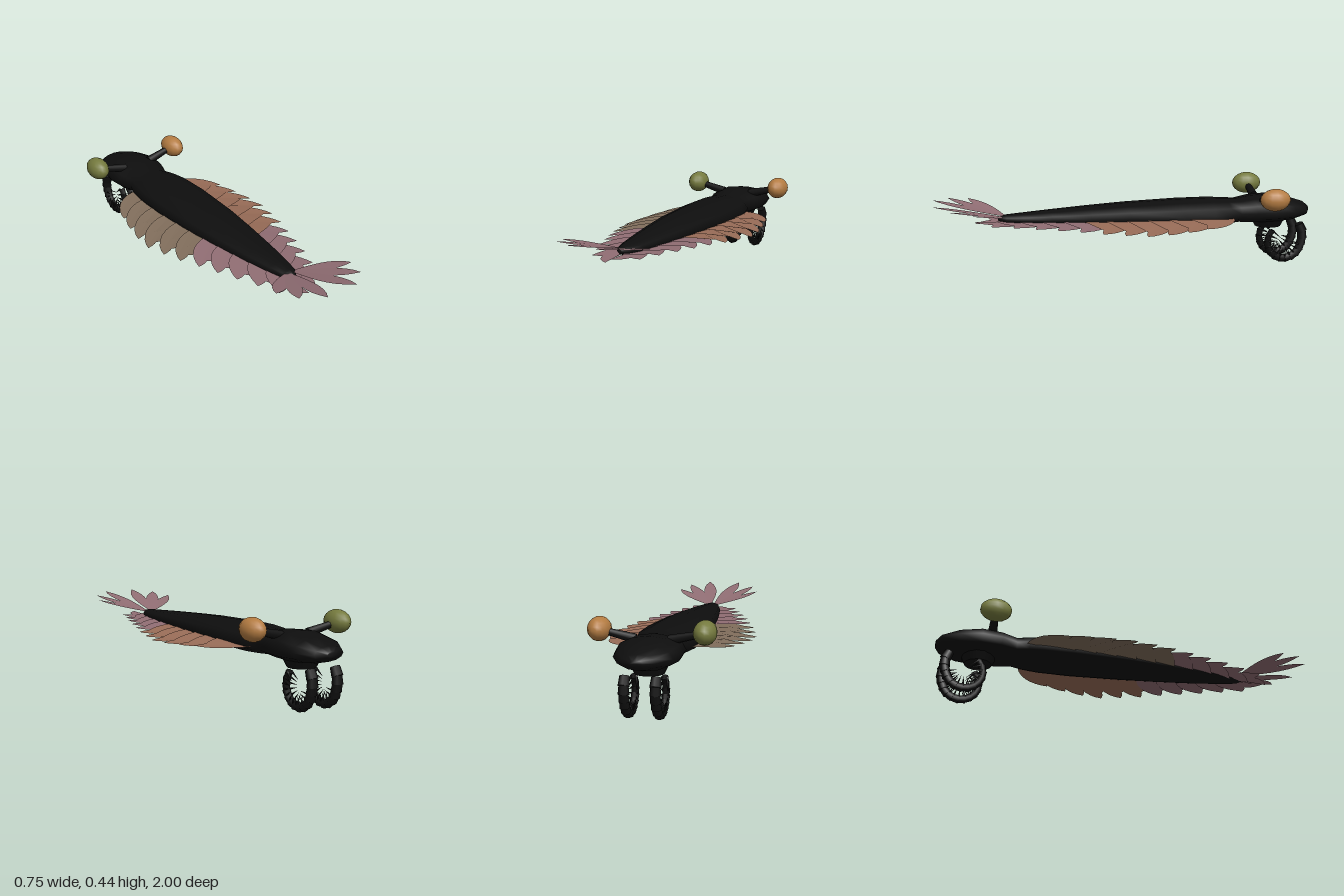
import * as THREE from 'three';

const material = (name, color, side = THREE.FrontSide) => {
  const m = new THREE.MeshStandardMaterial({ color, side });
  m.name = name;
  return m;
};

export function createModel() {
  const group = new THREE.Group();
  const black = material('shell black', 0x0e0e0e);
  const orange = material('eye orange', 0xb47c42);
  const olive = material('eye olive', 0x757a3e);
  const rust = material('fin rust', 0x986c57, THREE.DoubleSide);
  const brown = material('fin brown', 0x806d5b, THREE.DoubleSide);
  const mauve = material('fin mauve', 0x906d73, THREE.DoubleSide);

  const add = (name, geometry, mat, parent = group) => {
    const mesh = new THREE.Mesh(geometry, mat);
    mesh.name = name;
    parent.add(mesh);
    return mesh;
  };
  // Tapered round bar between two points
  const bar = (name, a, b, ra, rb, sides, parent) => {
    const d = b.clone().sub(a);
    const mesh = add(name, new THREE.CylinderGeometry(rb, ra, d.length(), sides), black, parent);
    mesh.position.copy(a).addScaledVector(d, 0.5);
    mesh.quaternion.setFromUnitVectors(new THREE.Vector3(0, 1, 0), d.normalize());
    return mesh;
  };

  // Body and head: rings of z, half width, bottom, top
  const rings = [
    [-1, 0.03, 0.27, 0.3], [-0.975, 0.085, 0.25, 0.322], [-0.89, 0.14, 0.23, 0.35],
    [-0.78, 0.16, 0.223, 0.37], [-0.68, 0.15, 0.225, 0.365], [-0.6, 0.122, 0.228, 0.352],
    [-0.54, 0.145, 0.225, 0.355], [-0.45, 0.16, 0.222, 0.36], [-0.28, 0.163, 0.224, 0.36],
    [0, 0.145, 0.234, 0.352], [0.2, 0.12, 0.241, 0.342], [0.4, 0.09, 0.25, 0.33],
    [0.55, 0.062, 0.26, 0.32], [0.63, 0.04, 0.268, 0.315], [0.67, 0.01, 0.285, 0.305],
  ];
  const sides = 12, pos = [], index = [];
  rings.forEach(([z, w, lo, hi], r) => {
    for (let i = 0; i < sides; i++) {
      const a = (i / sides) * Math.PI * 2;
      pos.push(w * Math.cos(a), (lo + hi) / 2 + (hi - lo) / 2 * Math.sin(a), z);
      if (r === 0) continue;
      const n = (i + 1) % sides, p = (r - 1) * sides, q = r * sides;
      index.push(p + i, p + n, q + n, p + i, q + n, q + i);
    }
  });
  const last = (rings.length - 1) * sides;
  for (let i = 1; i < sides - 1; i++) {
    index.push(0, i + 1, i, last, last + i, last + i + 1);
  }
  const body = new THREE.BufferGeometry();
  body.setAttribute('position', new THREE.Float32BufferAttribute(pos, 3));
  body.setIndex(index);
  body.computeVertexNormals();
  add('body', body, black);

  // Round mouth under the head
  const mouth = add('mouth', new THREE.CylinderGeometry(0.09, 0.07, 0.04, 14), black);
  mouth.position.set(0, 0.217, -0.78);

  // Stalked eyes
  for (const s of [1, -1]) {
    bar('eyeStalk', new THREE.Vector3(s * 0.08, 0.345, -0.725),
      new THREE.Vector3(s * 0.225, 0.378, -0.735), 0.024, 0.017, 8, group);
    const eye = add('eye', new THREE.SphereGeometry(1, 14, 10), s > 0 ? orange : olive);
    eye.scale.set(0.055, 0.058, 0.08);
    eye.position.set(s * 0.25, 0.387, -0.735);
  }

  // Curled front claws with paired inner spines
  const clawPoint = (t, x) => {
    const a = THREE.MathUtils.degToRad(130 + 270 * t);
    const r = 0.094 + 0.03 * Math.max(0, 1 - 5 * t);
    return new THREE.Vector3(x, 0.12 + r * Math.sin(a), -0.853 + r * Math.cos(a));
  };
  for (const s of [1, -1]) {
    const claw = new THREE.Group();
    claw.name = 'claw';
    group.add(claw);
    const count = 14;
    for (let i = 0; i < count; i++) {
      const t = i / count, rad = 0.028 - 0.011 * t;
      const a = clawPoint(t, s * 0.073), b = clawPoint((i + 1.15) / count, s * 0.073);
      bar('clawSegment', a, b, rad * 0.85, rad, 8, claw);
      if (i < 2) continue;
      for (const k of [-1, 1]) {
        const root = b.clone().add(new THREE.Vector3(k * 0.012, 0, 0));
        const tip = b.clone().lerp(new THREE.Vector3(b.x, 0.12, -0.853), 0.58);
        tip.x += k * 0.02;
        bar('clawSpine', root, tip, 0.006, 0.0005, 5, claw);
      }
    }
  }

  // Overlapping side fins, swept back; outer tips as x
  const tips = [0.32, 0.348, 0.368, 0.375, 0.352, 0.325, 0.287, 0.252, 0.215, 0.172, 0.13];
  tips.forEach((tx, i) => {
    const tz = -0.36 + 0.107 * i;
    const inner = Math.max(0.01, 0.07 - 0.006 * i);
    const front = tz - 0.2, w = tx - inner;
    const shape = new THREE.Shape();
    shape.moveTo(inner, front);
    shape.bezierCurveTo(inner + w * 0.7, front, tx - 0.01, tz - 0.09, tx, tz);
    shape.quadraticCurveTo(tx - 0.03, tz + 0.005, tx - 0.055, tz - 0.01);
    shape.quadraticCurveTo(inner + w * 0.5, tz + 0.05, inner, tz + 0.08);
    for (const s of [1, -1]) {
      const geo = new THREE.ShapeGeometry(shape, 8);
      const p = geo.attributes.position;
      for (let j = 0; j < p.count; j++) {
        const x = p.getX(j), z = p.getY(j);
        const droop = 0.5 * Math.max(0, x - 0.15) ** 2;
        p.setXYZ(j, s * x, 0.277 - droop + s * 0.05 * (z - tz + 0.08), z);
      }
      geo.computeVertexNormals();
      add('sideFin', geo, i > 5 ? mauve : s > 0 ? rust : brown);
    }
  });

  // Tail fan: three raised leaf blades on each side
  const fan = [[0.09, 0.387, 1], [0.19, 0.377, 0.92], [0.232, 0.362, 0.81]];
  for (const s of [1, -1]) {
    fan.forEach(([x, y, z], i) => {
      const root = new THREE.Vector3(s * 0.008, 0.3 - i * 0.001, 0.62);
      const dir = new THREE.Vector3(s * x, y, z).sub(root);
      const across = new THREE.Vector3(dir.z, 0, -dir.x).normalize();
      const leaf = new THREE.Shape();
      leaf.moveTo(0, 0);
      leaf.bezierCurveTo(0.03, 0.35, 0.065, 0.7, 0, 1);
      leaf.bezierCurveTo(-0.065, 0.7, -0.03, 0.35, 0, 0);
      const geo = new THREE.ShapeGeometry(leaf, 8);
      const p = geo.attributes.position, v = new THREE.Vector3();
      for (let j = 0; j < p.count; j++) {
        v.copy(root).addScaledVector(dir, p.getY(j)).addScaledVector(across, p.getX(j));
        p.setXYZ(j, v.x, v.y, v.z);
      }
      geo.computeVertexNormals();
      add('tailFin', geo, mauve);
    });
  }
  return group;
}
